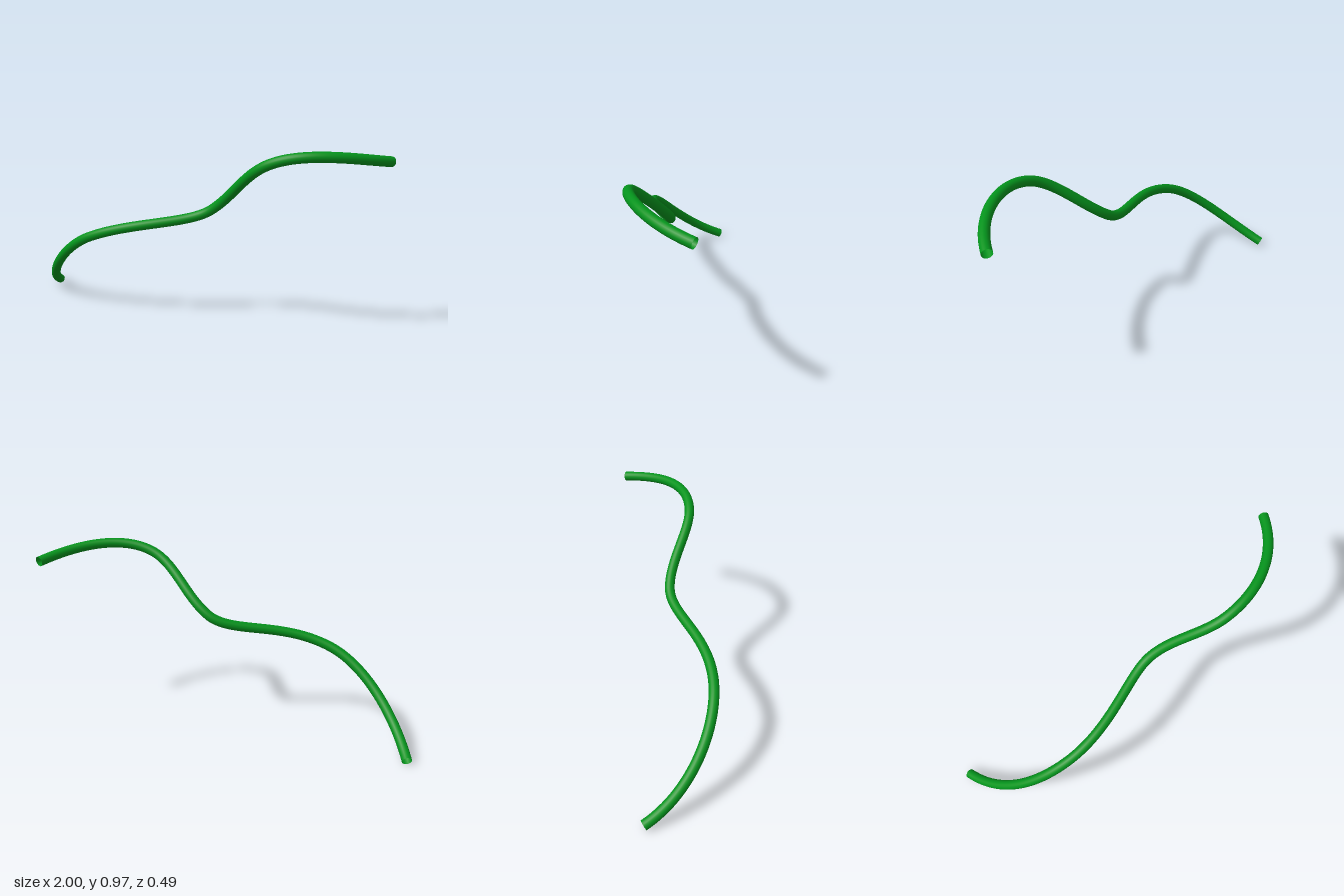
import * as THREE from 'three';

// Knots of the centre line: position, direction, reach of the handle before and after
const knots = [
  { p: [-0.974, 0.028, -0.118], d: [1, 1.1, 2.3], before: 0, after: 0.1 },
  { p: [-0.49, 0.446, 0.217], d: [1, 0.42, 0], before: 0.2, after: 0.27 },
  { p: [0.13, 0.62, 0.013], d: [1, 0.7, 0], before: 0.13, after: 0.13 },
  { p: [0.49, 0.905, 0.125], d: [1, 0.45, 0], before: 0.13, after: 0.17 },
  { p: [0.973, 0.903, -0.24], d: [1, -0.42, -2.5], before: 0.1, after: 0 },
];

const handle = (knot, reach) =>
  new THREE.Vector3(...knot.p).addScaledVector(new THREE.Vector3(...knot.d), reach);

export function createModel() {
  const group = new THREE.Group();
  group.name = 'curvedTube';

  // Winding centre line, from the low right end to the high left end
  const path = new THREE.CurvePath();
  for (let i = 0; i < knots.length - 1; i++) {
    const a = knots[i], b = knots[i + 1];
    path.add(new THREE.CubicBezierCurve3(
      handle(a, 0), handle(a, a.after), handle(b, -b.before), handle(b, 0)
    ));
  }

  // Hollow tube with open ends
  const tube = new THREE.Mesh(
    new THREE.TubeGeometry(path, 120, 0.026, 20, false),
    new THREE.MeshStandardMaterial({ color: 0x04931c, side: THREE.DoubleSide })
  );
  tube.name = 'tube';
  group.add(tube);
  return group;
}
